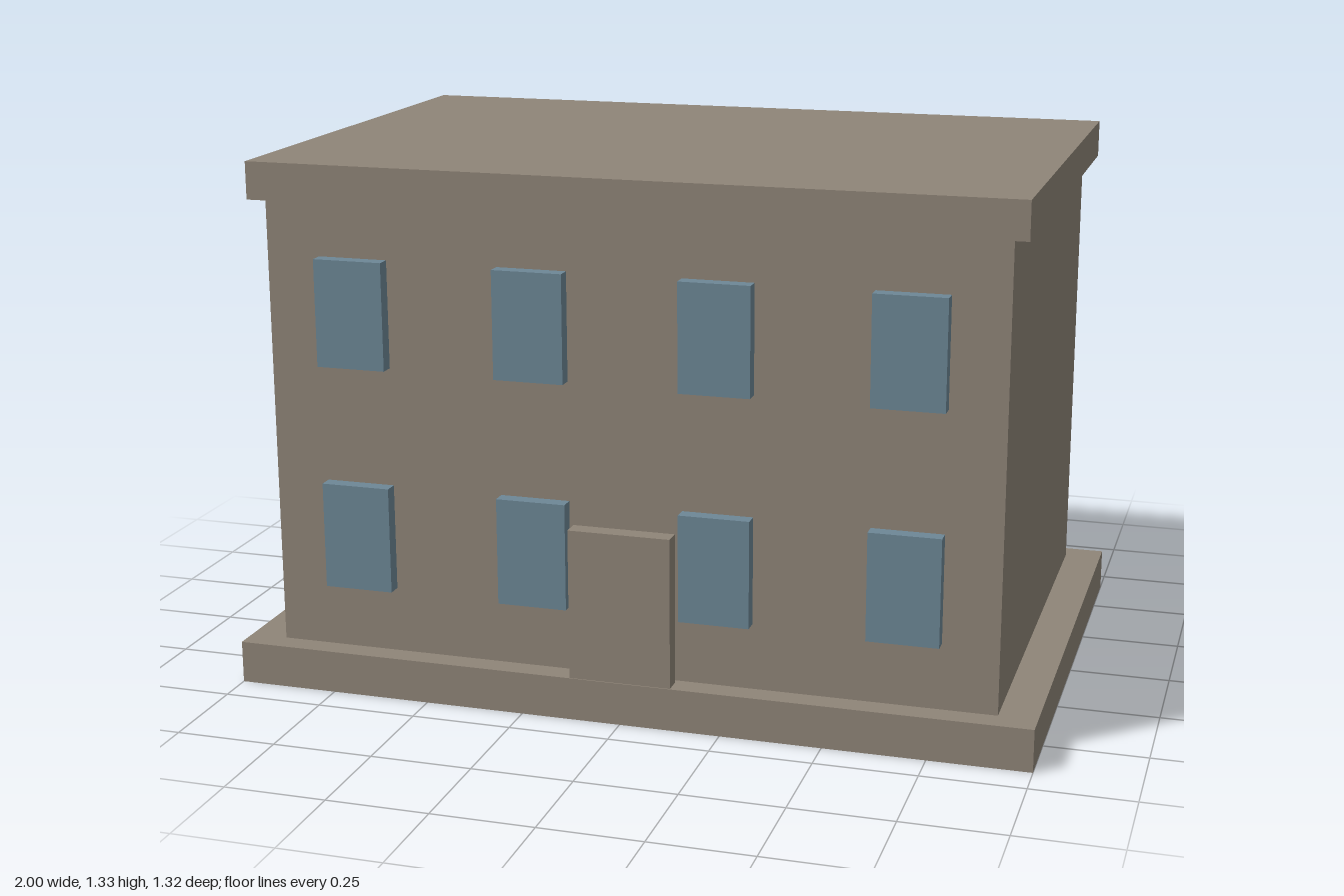
import * as THREE from 'three';

export function createModel() {
  const stone = new THREE.MeshStandardMaterial({ color: 0x8f8578 });
  stone.name = 'stone';
  const glass = new THREE.MeshStandardMaterial({ color: 0x6d8796 });
  glass.name = 'blueGlass';

  const model = new THREE.Group();
  model.name = 'building';

  // Box given by its extents along each axis
  function block(name, material, [x0, x1], [y0, y1], [z0, z1]) {
    const mesh = new THREE.Mesh(new THREE.BoxGeometry(x1 - x0, y1 - y0, z1 - z0), material);
    mesh.position.set((x0 + x1) / 2, (y0 + y1) / 2, (z0 + z1) / 2);
    mesh.name = name;
    model.add(mesh);
  }

  // Main masses
  block('plinth', stone, [-1, 1], [0, 0.106], [-0.66, 0.66]);
  block('walls', stone, [-0.906, 0.906], [0.106, 1.232], [-0.6, 0.6]);
  block('roofSlab', stone, [-0.943, 0.943], [1.232, 1.325], [-0.625, 0.625]);

  // Door slab standing just in front of the wall
  block('door', stone, [-0.127, 0.127], [0.106, 0.481], [0.613, 0.657]);

  // Two rows of four windows, front and back
  for (const [side, z] of [['front', [0.598, 0.636]], ['back', [-0.636, -0.598]]]) {
    for (const y of [0.403, 0.965]) {
      for (const x of [-0.683, -0.228, 0.228, 0.683]) {
        block(side + 'Window', glass, [x - 0.087, x + 0.087], [y - 0.133, y + 0.133], z);
      }
    }
  }

  return model;
}
